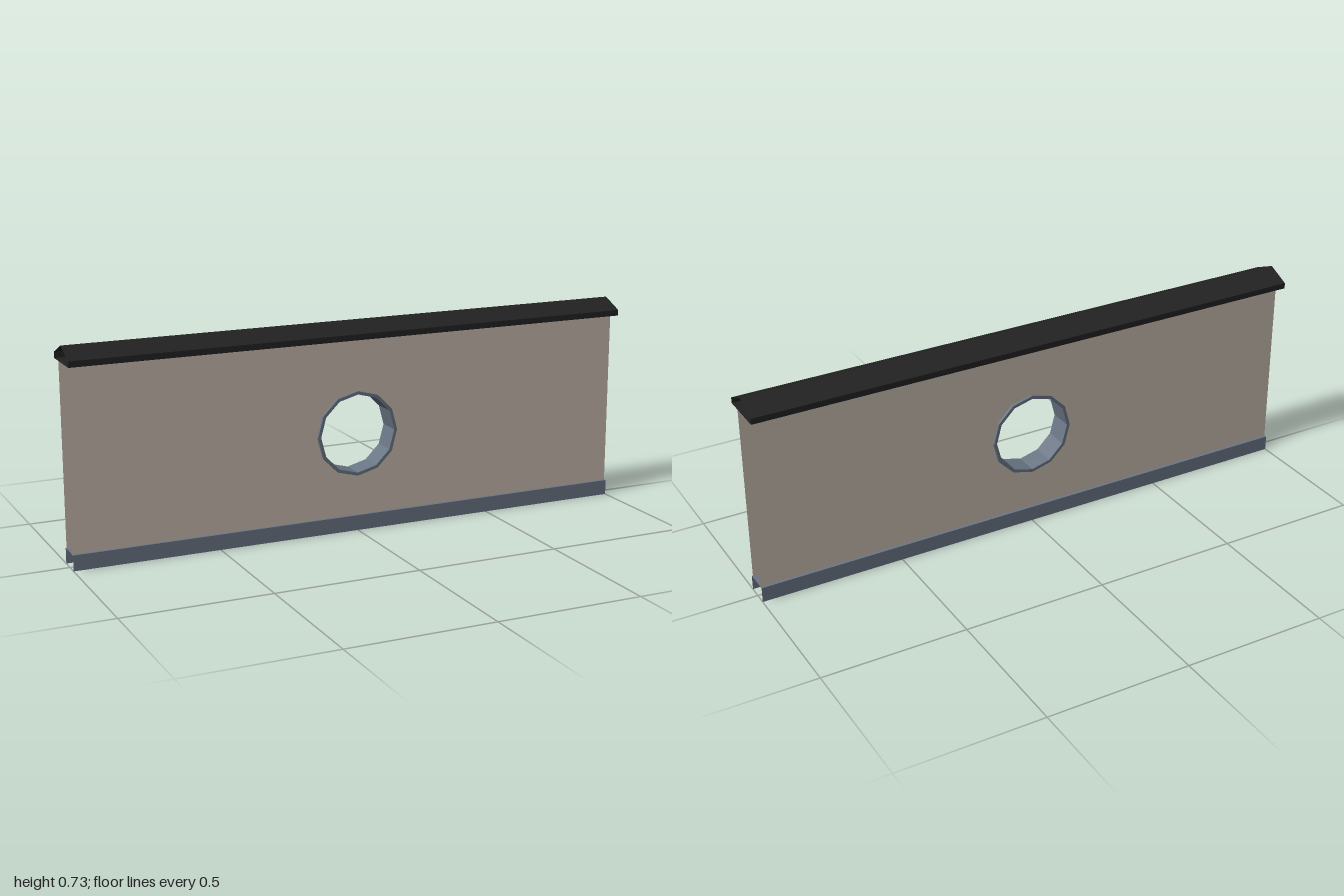
import * as THREE from 'three';

const material = (name, color) => new THREE.MeshStandardMaterial({ name, color, side: THREE.DoubleSide, flatShading: true });

// Open-ended sheet: a [z, y] profile swept along the full length in x
function sheet(name, profile, mat) {
  const pos = [];
  for (let i = 0; i < profile.length - 1; i++) {
    const [z0, y0] = profile[i], [z1, y1] = profile[i + 1];
    pos.push(-1, y0, z0, 1, y0, z0, 1, y1, z1, -1, y0, z0, 1, y1, z1, -1, y1, z1);
  }
  const geo = new THREE.BufferGeometry();
  geo.setAttribute('position', new THREE.Float32BufferAttribute(pos, 3));
  geo.computeVertexNormals();
  const mesh = new THREE.Mesh(geo, mat);
  mesh.name = name;
  return mesh;
}

// Twelve-sided outline with a corner at the top
function ringPoints(radius, cy) {
  return Array.from({ length: 12 }, (_, i) => {
    const a = (i / 12) * Math.PI * 2;
    return new THREE.Vector2(Math.cos(a) * radius, cy + Math.sin(a) * radius);
  });
}

export function createModel() {
  const model = new THREE.Group();
  model.name = 'wallSegment';
  const plaster = material('tanWall', 0xc8bcae);
  const slate = material('slateTrim', 0x6b7685);
  const black = material('blackCap', 0x222222);
  const holeY = 0.34;

  // Two thin wall faces with a round opening
  const wall = new THREE.Shape([
    new THREE.Vector2(-1, 0.05), new THREE.Vector2(1, 0.05),
    new THREE.Vector2(1, 0.67), new THREE.Vector2(-1, 0.67),
  ]);
  wall.holes.push(new THREE.Path(ringPoints(0.142, holeY).reverse()));
  for (const side of [1, -1]) {
    const face = new THREE.Mesh(new THREE.ShapeGeometry(wall), plaster);
    face.name = side > 0 ? 'frontWall' : 'backWall';
    face.position.z = side * 0.031;
    if (side < 0) face.rotation.y = Math.PI;
    model.add(face);
  }

  // Window ring lining the opening
  const ring = new THREE.Shape(ringPoints(0.147, holeY));
  ring.holes.push(new THREE.Path(ringPoints(0.136, holeY).reverse()));
  const ringGeo = new THREE.ExtrudeGeometry(ring, { depth: 0.083, bevelEnabled: false });
  ringGeo.translate(0, 0, -0.0415);
  const ringMesh = new THREE.Mesh(ringGeo, slate);
  ringMesh.name = 'windowRing';
  model.add(ringMesh);

  // Base trim: a channel open at the bottom
  model.add(sheet('baseTrim', [[0.042, 0], [0.042, 0.053], [-0.042, 0.053], [-0.042, 0]], slate));

  // Ridged cap with short lips and a flat underside
  model.add(sheet('ridgeCap', [
    [0.08, 0.67], [0.08, 0.69], [0, 0.725], [-0.08, 0.69], [-0.08, 0.67], [0.08, 0.67],
  ], black));

  return model;
}
